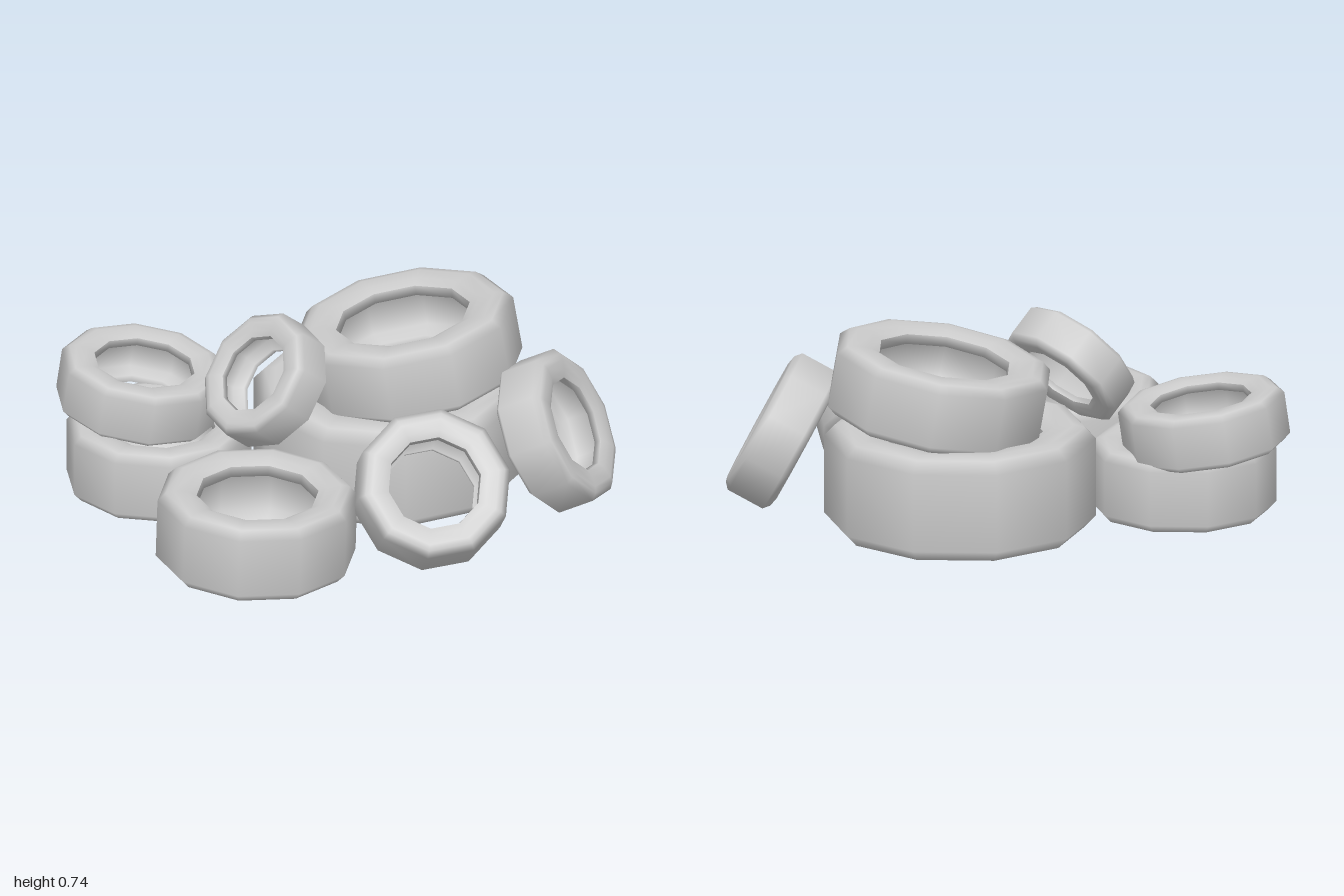
import * as THREE from 'three';

const SIDES = 10;
const material = new THREE.MeshStandardMaterial({ color: 0xcccccc });

// Half profiles as [fraction of radius, fraction of half width]
const casing = [[0.61, 0.86], [0.7, 0.97], [0.84, 1], [0.92, 0.95], [1, 0.74]];
const liner = [[0.61, 0.86], [0.6, 0.6], [0.8, 0.52]];

// Mirrors a half profile across the wheel plane and spins it round the axle
function ring(half, radius, halfWidth, phase, inward) {
  const pts = half.map(([r, h]) => new THREE.Vector2(r * radius, -h * halfWidth));
  const mirrored = half.map(([r, h]) => new THREE.Vector2(r * radius, h * halfWidth)).reverse();
  const profile = [...pts, ...mirrored];
  if (inward) profile.reverse();
  return new THREE.LatheGeometry(profile, SIDES, phase);
}

// One hollow tyre: rounded casing outside, lipped cavity inside
function makeTyre({ name, pos, radius, width, axis, phase = 0 }) {
  const tyre = new THREE.Group();
  tyre.name = name;
  const outer = new THREE.Mesh(ring(casing, radius, width / 2, phase, false), material);
  outer.name = 'casing';
  const inner = new THREE.Mesh(ring(liner, radius, width / 2, phase, true), material);
  inner.name = 'innerLiner';
  tyre.add(outer, inner);
  tyre.position.set(...pos);
  tyre.quaternion.setFromUnitVectors(
    new THREE.Vector3(0, 1, 0), new THREE.Vector3(...axis).normalize());
  return tyre;
}

const HALF_STEP = Math.PI / SIDES;

const tyres = [
  // Right-hand stack
  { name: 'largeBottomTyre', pos: [0.175, 0.205, -0.34], radius: 0.485, width: 0.39, axis: [0, 1, 0], phase: HALF_STEP },
  { name: 'largeTopTyre', pos: [0.25, 0.53, -0.34], radius: 0.4, width: 0.27, axis: [-0.17, 1, 0] },
  // Left-hand stack
  { name: 'smallBottomTyre', pos: [-0.61, 0.147, -0.1], radius: 0.335, width: 0.27, axis: [0, 1, 0], phase: HALF_STEP },
  { name: 'smallTopTyre', pos: [-0.69, 0.365, -0.185], radius: 0.3, width: 0.205, axis: [0.14, 1, 0], phase: HALF_STEP },
  // Flat tyre in front
  { name: 'frontTyre', pos: [-0.16, 0.16, 0.435], radius: 0.36, width: 0.295, axis: [0.03, 1, 0] },
  // Tyres leaning on the stacks
  { name: 'middleLeaningTyre', pos: [-0.205, 0.52, 0.005], radius: 0.24, width: 0.16, axis: [-0.55, 0.63, 0.55] },
  { name: 'frontLeaningTyre', pos: [0.445, 0.275, 0.275], radius: 0.28, width: 0.2, axis: [0.27, 0.67, 0.69], phase: HALF_STEP / 2 },
  { name: 'sideLeaningTyre', pos: [0.815, 0.315, -0.185], radius: 0.285, width: 0.19, axis: [0.88, 0.46, 0.09], phase: HALF_STEP },
];

export function createModel() {
  const pile = new THREE.Group();
  pile.name = 'tyrePile';
  tyres.forEach((t) => pile.add(makeTyre(t)));
  return pile;
}
